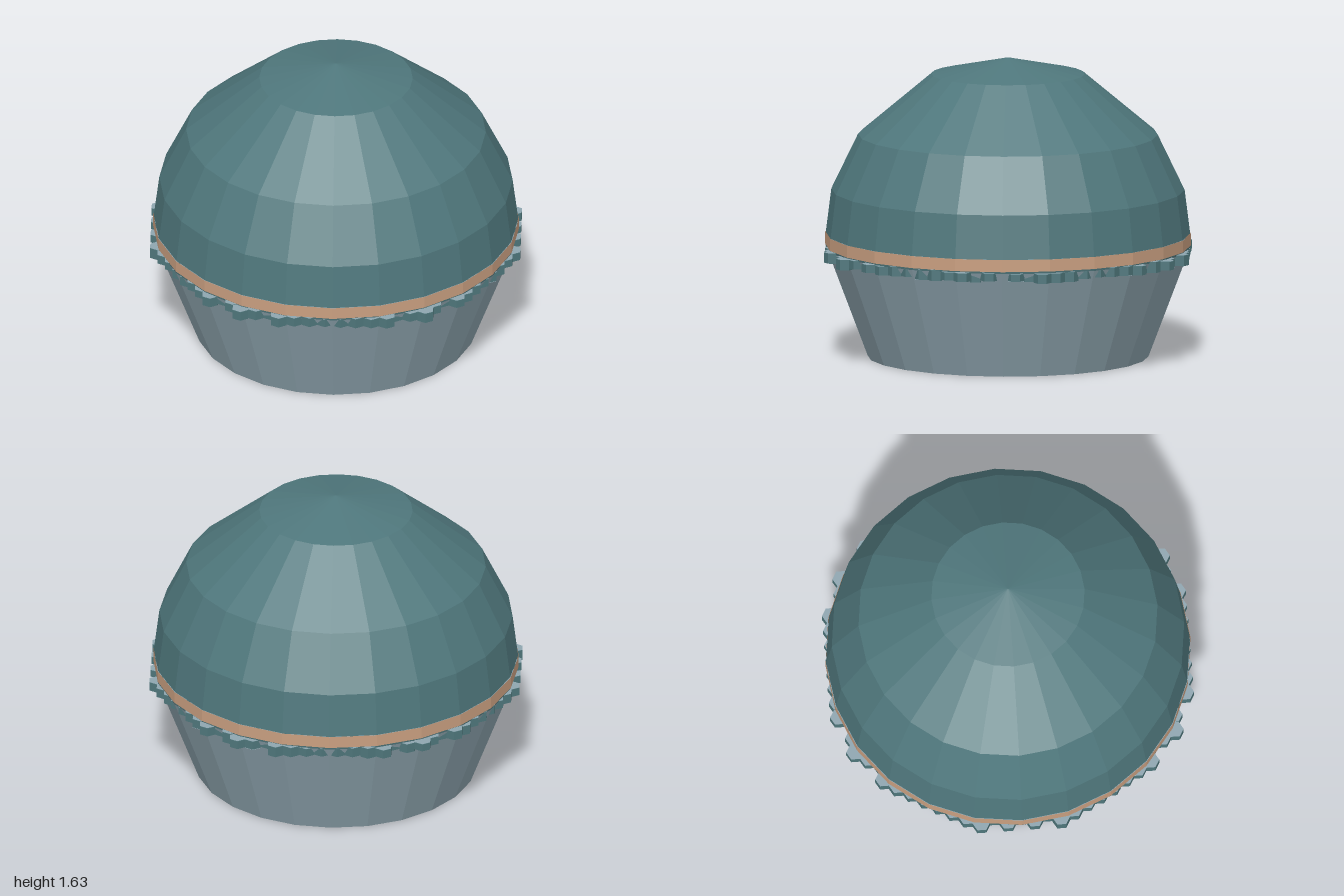
import * as THREE from 'three';
import { mergeGeometries } from 'three/addons/utils/BufferGeometryUtils.js';

const SIDES = 24;

function makeMaterial(name, color, side = THREE.FrontSide) {
  const m = new THREE.MeshStandardMaterial({ color, side });
  m.name = name;
  return m;
}

// Faceted normals baked into the geometry
function faceted(geometry) {
  const g = geometry.index ? geometry.toNonIndexed() : geometry;
  g.computeVertexNormals();
  return g;
}

// Faceted shell turned from [radius, height] points, listed bottom to top
function shell(name, points, material) {
  const profile = points.map(([r, y]) => new THREE.Vector2(r, y));
  const mesh = new THREE.Mesh(faceted(new THREE.LatheGeometry(profile, SIDES)), material);
  mesh.name = name;
  return mesh;
}

function seededRandom(seed) {
  let s = seed;
  return () => (s = (s * 16807) % 2147483647) / 2147483647;
}

export function createModel() {
  const teal = makeMaterial('teal', 0x4f777c, THREE.DoubleSide);
  const grey = makeMaterial('blueGrey', 0x8fa6b0, THREE.DoubleSide);
  const copper = makeMaterial('copper', 0xc99f80, THREE.DoubleSide);

  const model = new THREE.Group();
  model.name = 'domedHabitat';

  // Outer shells
  model.add(
    shell('base', [[0.76, 0], [0.985, 0.595]], grey),
    shell('rim', [[0.985, 0.595], [0.987, 0.606]], teal),
    shell('band', [[0.988, 0.606], [0.988, 0.672]], copper),
    shell('dome', [[0.985, 0.672], [0.955, 0.91], [0.81, 1.21], [0.415, 1.54], [0, 1.63]], teal)
  );

  // Hexagonal floor: tiles of uneven depth on a staggered grid
  const width = 1 / 12;
  const radius = width / Math.sqrt(3);
  const rowStep = radius * 1.5;
  const random = seededRandom(17);
  const bodies = [], plates = [];
  for (let row = -13; row <= 13; row++) {
    const shift = row % 2 ? 0.5 : 0;
    for (let col = -13; col <= 12; col++) {
      const x = (col + shift) * width;
      const z = row * rowStep;
      if (Math.hypot(x, z) > 1.0005 || Math.abs(x) > 0.97) continue;
      const top = 0.594 + random() * 0.01;
      const bottom = 0.543 + random() * 0.014;
      const body = new THREE.CylinderGeometry(radius, radius, top - bottom, 6);
      bodies.push(faceted(body.translate(x, (top + bottom) / 2, z)));

      // Pale upper face, and a pale underside on a few tiles
      const plate = new THREE.CircleGeometry(radius, 6, Math.PI / 6).rotateX(-Math.PI / 2);
      plates.push(faceted(plate.translate(x, top + 0.002, z)));
      if (random() < 0.07) {
        const under = new THREE.CircleGeometry(radius, 6, Math.PI / 6).rotateX(Math.PI / 2);
        plates.push(faceted(under.translate(x, bottom - 0.002, z)));
      }
    }
  }
  const floor = new THREE.Group();
  floor.name = 'hexFloor';
  const tileBodies = new THREE.Mesh(mergeGeometries(bodies), teal);
  tileBodies.name = 'floorTiles';
  const tileFaces = new THREE.Mesh(mergeGeometries(plates), grey);
  tileFaces.name = 'tileFaces';
  floor.add(tileBodies, tileFaces);
  model.add(floor);

  return model;
}
